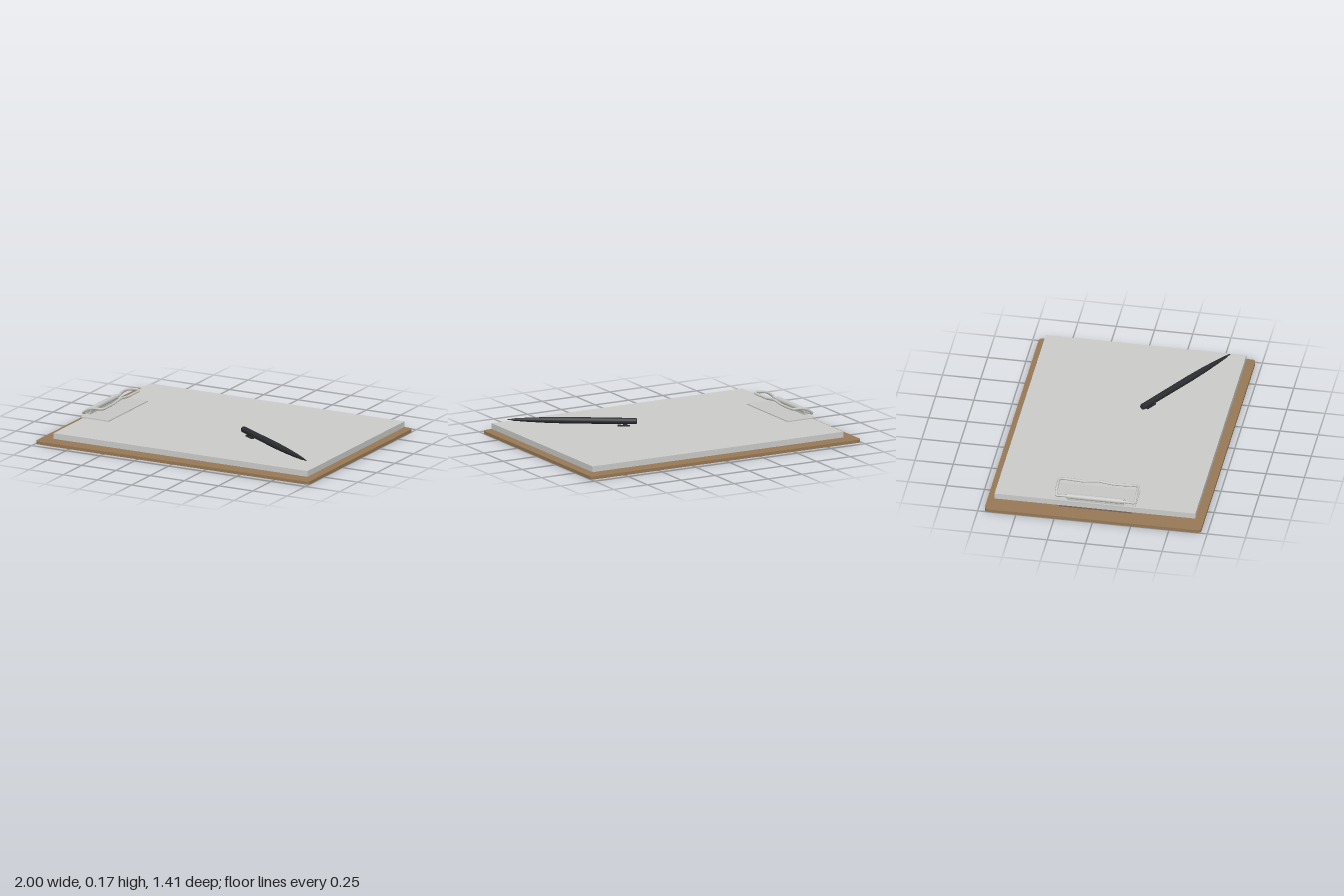
import * as THREE from 'three';

const mat = (name, color) => {
  const m = new THREE.MeshStandardMaterial({ color });
  m.name = name;
  return m;
};

// Flat slab with rounded corners, lying in the xz plane from y = 0 to y = h
function slab(w, d, h, r) {
  const s = new THREE.Shape(), x = w / 2, y = d / 2;
  s.moveTo(-x + r, -y);
  s.lineTo(x - r, -y).absarc(x - r, -y + r, r, -Math.PI / 2, 0);
  s.lineTo(x, y - r).absarc(x - r, y - r, r, 0, Math.PI / 2);
  s.lineTo(-x + r, y).absarc(-x + r, y - r, r, Math.PI / 2, Math.PI);
  s.lineTo(-x, -y + r).absarc(-x + r, -y + r, r, Math.PI, Math.PI * 1.5);
  return new THREE.ExtrudeGeometry(s, { depth: h, bevelEnabled: false, curveSegments: 5 }).rotateX(-Math.PI / 2);
}

export function createModel() {
  const root = new THREE.Group();
  root.name = 'clipboard';
  const wood = mat('brown board', 0x967855);
  const paper = mat('paper grey', 0xcacac8);
  const metal = mat('clip metal', 0xc6c6c4);
  const mountMat = mat('mount brown grey', 0x7a685c);
  const ink = mat('pen black', 0x2b2c30);

  const add = (parent, name, geo, material, x = 0, y = 0, z = 0) => {
    const m = new THREE.Mesh(geo, material);
    m.name = name;
    m.position.set(x, y, z);
    parent.add(m);
    return m;
  };

  // Board and paper stack
  add(root, 'board', slab(2, 1.415, 0.02, 0.025), wood);
  add(root, 'paperStack', new THREE.BoxGeometry(1.855, 0.038, 1.312), paper, 0.035, 0.0545, -0.003);

  // Clip: mount under the paper, pressing plate, hinge and bent wire
  const clip = new THREE.Group();
  clip.name = 'clip';
  root.add(clip);
  const mount = new THREE.Shape([[-0.24, 0], [0.24, 0], [0.21, 0.012], [-0.21, 0.012]]
    .map(p => new THREE.Vector2(...p)));
  add(clip, 'clipMount', new THREE.ExtrudeGeometry(mount, { depth: 0.05, bevelEnabled: false }).rotateY(Math.PI / 2),
    mountMat, -0.885, 0.02, 0);
  add(clip, 'pressPlate', new THREE.BoxGeometry(0.205, 0.007, 0.53), metal, -0.805, 0.079, -0.005);
  add(clip, 'hingeBase', new THREE.BoxGeometry(0.022, 0.026, 0.37), metal, -0.885, 0.095, 0);
  add(clip, 'hingeTube', new THREE.CylinderGeometry(0.017, 0.017, 0.37, 14).rotateX(Math.PI / 2), metal, -0.886, 0.108, 0);

  const half = [
    [-0.888, 0.108, 0.16], [-0.888, 0.106, 0.235], [-0.893, 0.108, 0.254], [-0.875, 0.124, 0.259],
    [-0.845, 0.141, 0.259], [-0.8, 0.15, 0.259], [-0.77, 0.151, 0.257], [-0.755, 0.149, 0.24],
    [-0.755, 0.147, 0.16], [-0.757, 0.146, 0.1], [-0.757, 0.152, 0.05],
  ];
  const other = half.map(([x, y, z]) => [x, y, -z]).reverse();
  const path = [...half, [-0.757, 0.157, 0], ...other].map(p => new THREE.Vector3(...p));
  add(clip, 'clipWire', new THREE.TubeGeometry(new THREE.CatmullRomCurve3(path, false, 'centripetal'), 120, 0.0085, 8), metal);

  // Pen lying diagonally across the paper, built along its own x axis
  const pen = new THREE.Group();
  pen.name = 'pen';
  pen.position.set(0.198, 0.112, 0.108);
  pen.rotation.y = -Math.atan2(0.45, 0.705);
  root.add(pen);
  const profile = [[0, 0], [0.016, 0], [0.02, 0.006], [0.021, 0.25], [0.0215, 0.45], [0.019, 0.58],
    [0.014, 0.7], [0.008, 0.795], [0.005, 0.805], [0.003, 0.833], [0, 0.836]].map(p => new THREE.Vector2(...p));
  add(pen, 'penBody', new THREE.LatheGeometry(profile, 16).rotateZ(-Math.PI / 2), ink);
  // Small pocket clip resting on the paper
  add(pen, 'penClipNeck', new THREE.BoxGeometry(0.03, 0.014, 0.014), ink, 0.075, -0.024, 0);
  add(pen, 'penClipFoot', new THREE.BoxGeometry(0.08, 0.007, 0.018), ink, 0.085, -0.0315, 0);

  return root;
}
